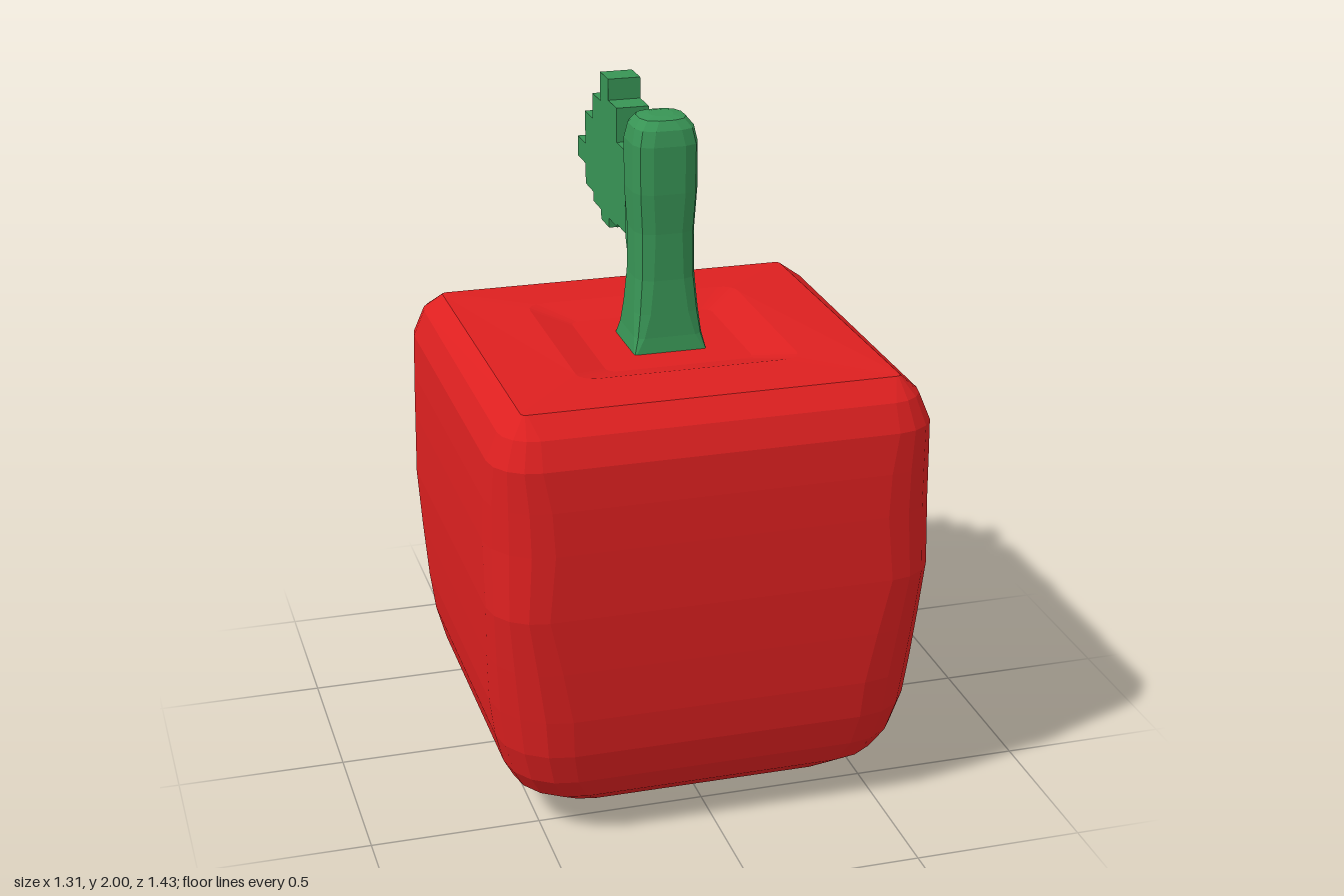
import * as THREE from 'three';

const red = new THREE.MeshStandardMaterial({ color: 0xdd2020, flatShading: true });
const green = new THREE.MeshStandardMaterial({ color: 0x389455, flatShading: true });
const CZ = 0.055; // centre line of fruit and stem

// Rounded rectangle ring, counter-clockwise seen from above
function ring([y, hx, hz, r], steps) {
  const pts = [];
  for (let q = 0; q < 4; q++) {
    const sx = q === 0 || q === 3 ? 1 : -1;
    const sz = q < 2 ? -1 : 1;
    for (let s = 0; s <= steps; s++) {
      const a = (q + s / steps) * Math.PI / 2;
      pts.push([sx * (hx - r) + r * Math.cos(a), y, sz * (hz - r) - r * Math.sin(a)]);
    }
  }
  return pts;
}

// Skin a stack of rings (listed upwards) and close both ends
function loft(specs, steps, tweak) {
  const rings = specs.map((s) => ring(s, steps));
  const n = rings[0].length, last = rings.length - 1;
  const pos = rings.flat();
  if (tweak) pos.forEach(tweak);
  const idx = [];
  for (let i = 0; i < last; i++) {
    for (let j = 0; j < n; j++) {
      const k = (j + 1) % n;
      const a = i * n + j, b = i * n + k, c = b + n, d = a + n;
      idx.push(a, b, c, a, c, d);
    }
  }
  const bottom = pos.length, top = bottom + 1;
  pos.push([0, specs[0][0], 0], [0, specs[last][0], 0]);
  for (let j = 0; j < n; j++) {
    const k = (j + 1) % n;
    idx.push(bottom, k, j, top, last * n + j, last * n + k);
  }
  const g = new THREE.BufferGeometry();
  g.setAttribute('position', new THREE.Float32BufferAttribute(pos.flat(), 3));
  g.setIndex(idx);
  g.computeVertexNormals();
  return g;
}

function part(name, geometry, material) {
  const mesh = new THREE.Mesh(geometry, material);
  mesh.name = name;
  return mesh;
}

export function createModel() {
  const group = new THREE.Group();
  group.name = 'cubeFruit';

  // Fruit: height, half width, corner radius; dimple on top, small nub below
  const profile = [
    [0.0, 0.02, 0.004], [0.018, 0.09, 0.004], [0.02, 0.25, 0.06], [0.035, 0.4, 0.12],
    [0.07, 0.48, 0.15], [0.13, 0.56, 0.18], [0.2, 0.595, 0.18], [0.3, 0.622, 0.19],
    [0.42, 0.638, 0.2], [0.58, 0.648, 0.18], [0.75, 0.655, 0.15], [0.95, 0.656, 0.17],
    [1.08, 0.653, 0.16], [1.2, 0.645, 0.13], [1.28, 0.612, 0.1], [1.335, 0.55, 0.015],
    [1.333, 0.33, 0.05], [1.305, 0.22, 0.03],
  ];
  const fruit = part('fruit', loft(profile.map(([y, h, r]) => [y, h, h, r]), 4, (p) => {
    // the rear top edge is a little softer
    if (p[1] > 1.33 && p[2] < -0.5) { p[1] -= 0.012; p[2] += 0.01; }
  }), red);
  fruit.position.z = CZ;
  group.add(fruit);

  // Stem: square flared foot turning into a rounded post
  const stemProfile = [
    [1.3, 0.11, 0.005], [1.35, 0.102, 0.025], [1.42, 0.097, 0.04], [1.52, 0.09, 0.045],
    [1.66, 0.09, 0.05], [1.78, 0.097, 0.05], [1.92, 0.097, 0.05], [1.965, 0.088, 0.05],
    [1.99, 0.068, 0.045], [1.996, 0.035, 0.025],
  ];
  const stem = part('stem', loft(stemProfile.map(([y, h, r]) => [y, h, h, r]), 2), green);
  stem.position.z = CZ;
  group.add(stem);

  // Leaf stalk: flares out of the back of the stem
  const stalk = part('leafStalk', loft([
    [0, 0.085, 0.16, 0.03], [0.04, 0.08, 0.115, 0.03], [0.065, 0.066, 0.07, 0.025],
    [0.095, 0.045, 0.036, 0.01], [0.155, 0.05, 0.031, 0.002],
  ], 2), green);
  stalk.rotation.x = -Math.PI / 2;
  stalk.position.y = 1.69;
  group.add(stalk);

  // Leaf: stepped outline, one [bottom, top] pair per column going backwards
  const columns = [
    [1.575, 1.83], [1.565, 1.935], [1.535, 2.0], [1.565, 1.91], [1.595, 1.83], [1.66, 1.725],
  ];
  const step = 0.0942, start = 0.15;
  const upper = [], lower = [];
  columns.forEach(([lo, hi], i) => {
    for (const x of [start + i * step, start + (i + 1) * step]) {
      upper.push(new THREE.Vector2(x, hi));
      lower.push(new THREE.Vector2(x, lo));
    }
  });
  const outline = new THREE.Shape([...lower, ...upper.reverse()]);
  const leafGeometry = new THREE.ExtrudeGeometry(outline, { depth: 0.1, bevelEnabled: false });
  leafGeometry.translate(0, 0, -0.05);
  leafGeometry.rotateY(Math.PI / 2);
  group.add(part('leaf', leafGeometry, green));

  return group;
}
